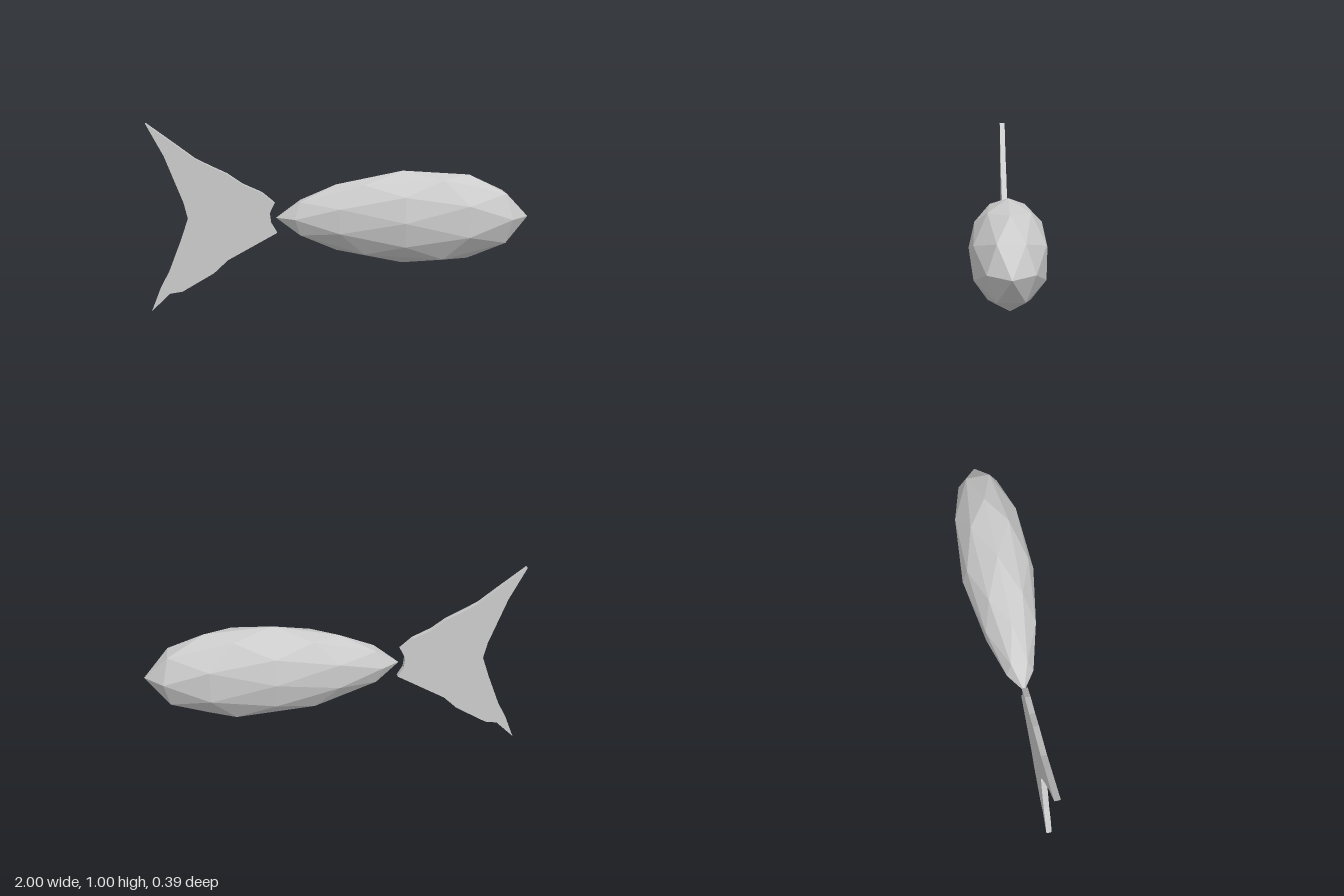
import * as THREE from 'three';

const material = new THREE.MeshStandardMaterial({ color: 0xcccccc, flatShading: true });

// Faceted body: a stretched icosphere, slimmer towards the tail
function createBody() {
  const geometry = new THREE.IcosahedronGeometry(1, 1);
  const p = geometry.attributes.position;
  for (let i = 0; i < p.count; i++) {
    const x = p.getX(i);
    const girth = 1 + 0.22 * x - 0.17 * x * x;
    p.setXYZ(i, 0.333 + x * 0.667, 0.5 + p.getY(i) * 0.247 * girth, p.getZ(i) * 0.195 * girth);
  }
  geometry.computeVertexNormals();
  const body = new THREE.Mesh(geometry, material);
  body.name = 'body';
  return body;
}

// Forked tail fin: a thin flat plate with a slightly ragged outline
function createTailFin() {
  const outline = [
    [-1, 1], [-0.85, 0.89], [-0.75, 0.815], [-0.67, 0.775], [-0.585, 0.735],
    [-0.505, 0.68], [-0.405, 0.635], [-0.34, 0.58], [-0.367, 0.525], [-0.36, 0.47],
    [-0.33, 0.42], [-0.59, 0.275], [-0.665, 0.205], [-0.835, 0.105], [-0.9, 0.095],
    [-1, 0], [-0.95, 0.125], [-0.9, 0.22], [-0.835, 0.385], [-0.795, 0.5],
    [-0.815, 0.585], [-0.91, 0.83],
  ];
  const shape = new THREE.Shape(outline.map(([x, y]) => new THREE.Vector2(x, y)));
  const geometry = new THREE.ExtrudeGeometry(shape, { depth: 0.03, bevelEnabled: false });
  geometry.translate(0, 0, -0.015);
  const fin = new THREE.Mesh(geometry, material);
  fin.name = 'tailFin';
  return fin;
}

export function createModel() {
  const fish = new THREE.Group();
  fish.name = 'fish';
  fish.add(createBody(), createTailFin());
  return fish;
}
